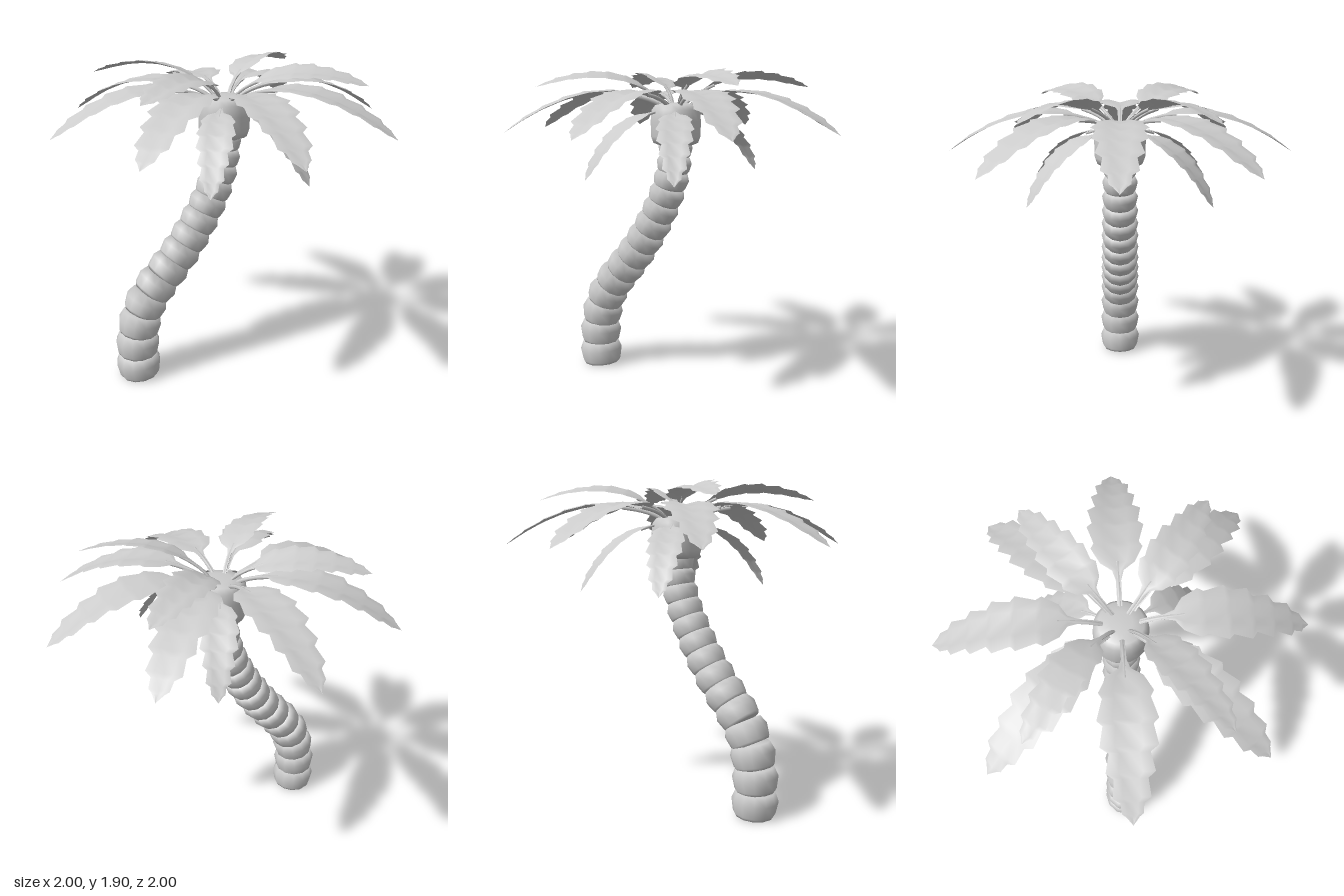
import * as THREE from 'three';

const DEG = Math.PI / 180;
const material = new THREE.MeshStandardMaterial({ color: 0xcccccc });
const leafMaterial = new THREE.MeshStandardMaterial({ color: 0xcccccc, side: THREE.DoubleSide });
const v2 = ([x, y]) => new THREE.Vector2(x, y);

// Arching midrib of a frond, running out along +x from the crown
const spine = new THREE.CatmullRomCurve3([
  [0.03, -0.02], [0.15, 0.045], [0.35, 0.083], [0.57, 0.065], [0.8, -0.02], [1.0, -0.14],
].map(([x, y]) => new THREE.Vector3(x, y, 0)));

// Saw-toothed outline: position along the midrib, half width
const outline = [
  [0, 0.014], [0.1, 0.013], [0.2, 0.014], [0.25, 0.03], [0.29, 0.09], [0.37, 0.135], [0.4, 0.118],
  [0.5, 0.15], [0.525, 0.122], [0.62, 0.142], [0.65, 0.1], [0.74, 0.12], [0.77, 0.083],
  [0.86, 0.093], [0.885, 0.058], [0.94, 0.052], [0.955, 0.033], [1, 0],
];

// Blade with a sunken midrib and gently bulging halves
function bladeGeometry() {
  const across = [-1, -0.5, 0, 0.5, 1];
  const lift = [0.08, 0.13, 0, 0.13, 0.08];
  const n = across.length;
  const positions = [], index = [];
  outline.forEach(([u, w], i) => {
    const p = spine.getPointAt(u);
    const t = spine.getTangentAt(u);
    across.forEach((a, j) => {
      const h = lift[j] * w;
      positions.push(p.x - t.y * h, p.y + t.x * h, a * w);
      if (i > 0 && j > 0) {
        const d = i * n + j, c = d - 1, b = d - n, e = b - 1;
        index.push(e, c, b, b, c, d);
      }
    });
  });
  const g = new THREE.BufferGeometry();
  g.setAttribute('position', new THREE.Float32BufferAttribute(positions, 3));
  g.setIndex(index);
  g.computeVertexNormals();
  return g;
}

// Stalk under the inner part of the blade
function stalkGeometry() {
  const points = [0, 0.07, 0.14, 0.21, 0.3].map((u) => spine.getPointAt(u).add(new THREE.Vector3(0, -0.008, 0)));
  return new THREE.TubeGeometry(new THREE.CatmullRomCurve3(points), 8, 0.011, 6);
}

function createTrunk() {
  const trunk = new THREE.Group();
  trunk.name = 'trunk';
  const path = new THREE.CatmullRomCurve3([
    [-0.573, 0.012], [-0.582, 0.155], [-0.572, 0.31], [-0.54, 0.45], [-0.46, 0.59], [-0.36, 0.7],
    [-0.24, 0.86], [-0.13, 1.04], [-0.04, 1.24], [-0.01, 1.37], [0, 1.5],
  ].map(([x, y]) => new THREE.Vector3(x, y, 0)));
  // One ring: flares upward, then pinches in
  const ring = new THREE.LatheGeometry(
    [[0, 0], [0.9, 0], [0.98, 0.12], [1.08, 0.62], [0.9, 1], [0, 1]].map(v2), 12);
  const count = 14;
  const lengths = Array.from({ length: count }, (_, i) => 1.45 - (0.55 * i) / (count - 1));
  const total = lengths.reduce((a, b) => a + b, 0);
  let u = 0;
  lengths.forEach((len, i) => {
    const a = path.getPointAt(u);
    u = Math.min(1, u + len / total);
    const b = path.getPointAt(u);
    const dir = b.clone().sub(a);
    const radius = 0.127 - (0.032 * i) / (count - 1);
    const mesh = new THREE.Mesh(ring, material);
    mesh.name = 'trunkRing' + (i + 1);
    mesh.position.copy(a);
    mesh.scale.set(radius, dir.length() * 1.03, radius);
    mesh.quaternion.setFromUnitVectors(new THREE.Vector3(0, 1, 0), dir.normalize());
    trunk.add(mesh);
  });
  return trunk;
}

export function createModel() {
  const model = new THREE.Group();
  model.name = 'palmTree';
  model.add(createTrunk());

  // Cup-shaped crown base holding the fronds
  const crown = new THREE.Mesh(new THREE.LatheGeometry([
    [0, 1.475], [0.1, 1.478], [0.135, 1.492], [0.148, 1.53], [0.15, 1.62], [0.143, 1.685], [0.12, 1.715], [0.06, 1.725], [0, 1.725],
  ].map(v2), 20), material);
  crown.name = 'crownBase';
  model.add(crown);

  const blade = bladeGeometry();
  const stalk = stalkGeometry();
  const addFrond = (name, yaw, size = 1, pitch = 0, roll = 0) => {
    const frond = new THREE.Group();
    frond.name = name;
    const bladeMesh = new THREE.Mesh(blade, leafMaterial);
    bladeMesh.name = 'blade';
    const stalkMesh = new THREE.Mesh(stalk, material);
    stalkMesh.name = 'stalk';
    frond.add(bladeMesh, stalkMesh);
    frond.position.y = 1.7;
    frond.scale.setScalar(size);
    frond.rotation.set(roll * DEG, yaw * DEG, pitch * DEG, 'YZX');
    model.add(frond);
  };

  // Main ring of eight long fronds
  for (let i = 0; i < 8; i++) addFrond('mainFrond' + (i + 1), i * 45);

  // Four raised and four drooping fronds, mirrored into each quadrant
  const quadrants = (a) => [a, 180 - a, 180 + a, -a];
  quadrants(40).forEach((yaw, i) => addFrond('upperFrond' + (i + 1), yaw, 0.81, 16, i % 2 ? 12 : -12));
  quadrants(61).forEach((yaw, i) => addFrond('lowerFrond' + (i + 1), yaw, 0.71, -26));

  return model;
}
